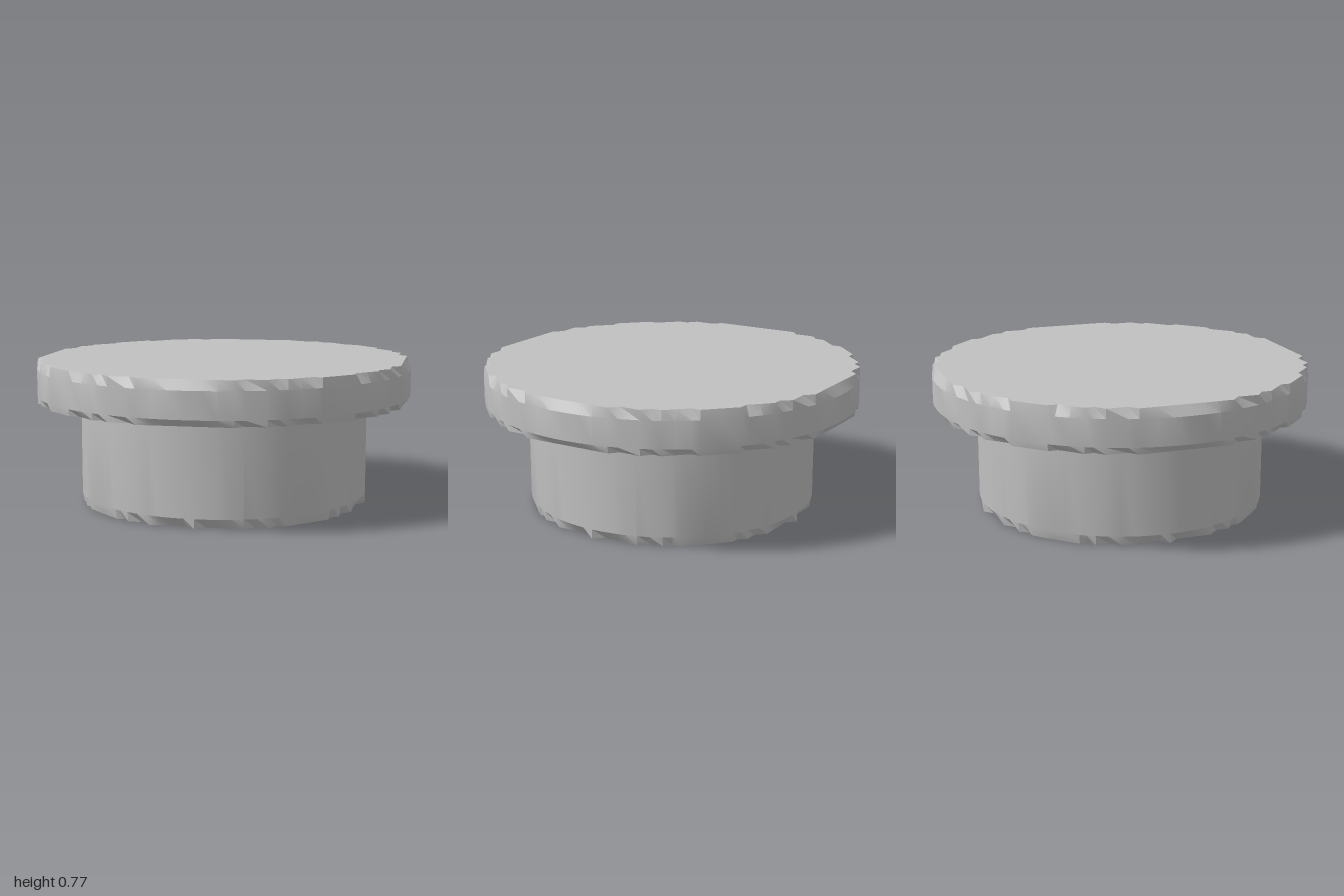
import * as THREE from 'three';
import { toCreasedNormals } from 'three/addons/utils/BufferGeometryUtils.js';

// Expand one eighth of a stepped outline to the full turn, as [x, z] points
function fullOutline(eighth, diagonal) {
  const mirrored = eighth.slice(1).reverse().map(([x, z]) => [z, x]);
  const quarter = [...eighth, [diagonal, diagonal], ...mirrored];
  const points = [];
  for (let q = 0; q < 4; q++) {
    for (const [x, z] of quarter) points.push([[x, z], [-z, x], [-x, -z], [z, -x]][q]);
    // the next quarter's first point closes this one
  }
  return points;
}

// Skin rings from top to bottom; a ring is [radius, y], or ['chipped', y] for the stepped outline
function skin(outline, rings) {
  const count = outline.length;
  const positions = [];
  const index = [];
  for (const [radius, y] of rings) {
    for (const [x, z] of outline) {
      const k = radius === 'chipped' ? 1 : radius / Math.hypot(x, z);
      positions.push(x * k, y, z * k);
    }
  }
  for (let r = 0; r < rings.length - 1; r++) {
    for (let i = 0; i < count; i++) {
      const a = r * count + i;
      const b = r * count + (i + 1) % count;
      if (rings[r][0] !== 0) index.push(a, b, a + count);
      if (rings[r + 1][0] !== 0) index.push(b, b + count, a + count);
    }
  }
  const geometry = new THREE.BufferGeometry();
  geometry.setAttribute('position', new THREE.Float32BufferAttribute(positions, 3));
  geometry.setIndex(index);
  return toCreasedNormals(geometry, 0.45);
}

export function createModel() {
  const group = new THREE.Group();
  const grey = new THREE.MeshStandardMaterial({ color: 0xc0c0c0 });
  grey.name = 'plain grey';

  const add = (name, geometry) => {
    const mesh = new THREE.Mesh(geometry, grey);
    mesh.name = name;
    group.add(mesh);
  };

  // Wide cap with chipped bevels above and below, and a small step down to the plug
  const capOutline = fullOutline([
    [0.965, 0], [0.965, 0.08], [0.965, 0.16], [0.965, 0.24], [0.92, 0.28], [0.92, 0.39],
    [0.87, 0.43], [0.87, 0.48], [0.82, 0.53], [0.77, 0.58], [0.77, 0.63],
  ], 0.7);
  add('cap', skin(capOutline, [
    [0, 0.77], ['chipped', 0.77], [1, 0.72], [1, 0.58], ['chipped', 0.545],
    [0.8, 0.545], [0.765, 0.53], [0, 0.53],
  ]));

  // Round plug with a chipped lower edge
  const plugOutline = fullOutline([
    [0.768, 0], [0.72, 0.05], [0.72, 0.12], [0.72, 0.18], [0.72, 0.24], [0.67, 0.29],
    [0.67, 0.36], [0.625, 0.39], [0.625, 0.43], [0.58, 0.48],
  ], 0.53);
  add('plug', skin(plugOutline, [
    [0, 0.54], [0.768, 0.54], [0.768, 0.05], ['chipped', 0], [0, 0],
  ]));

  return group;
}
